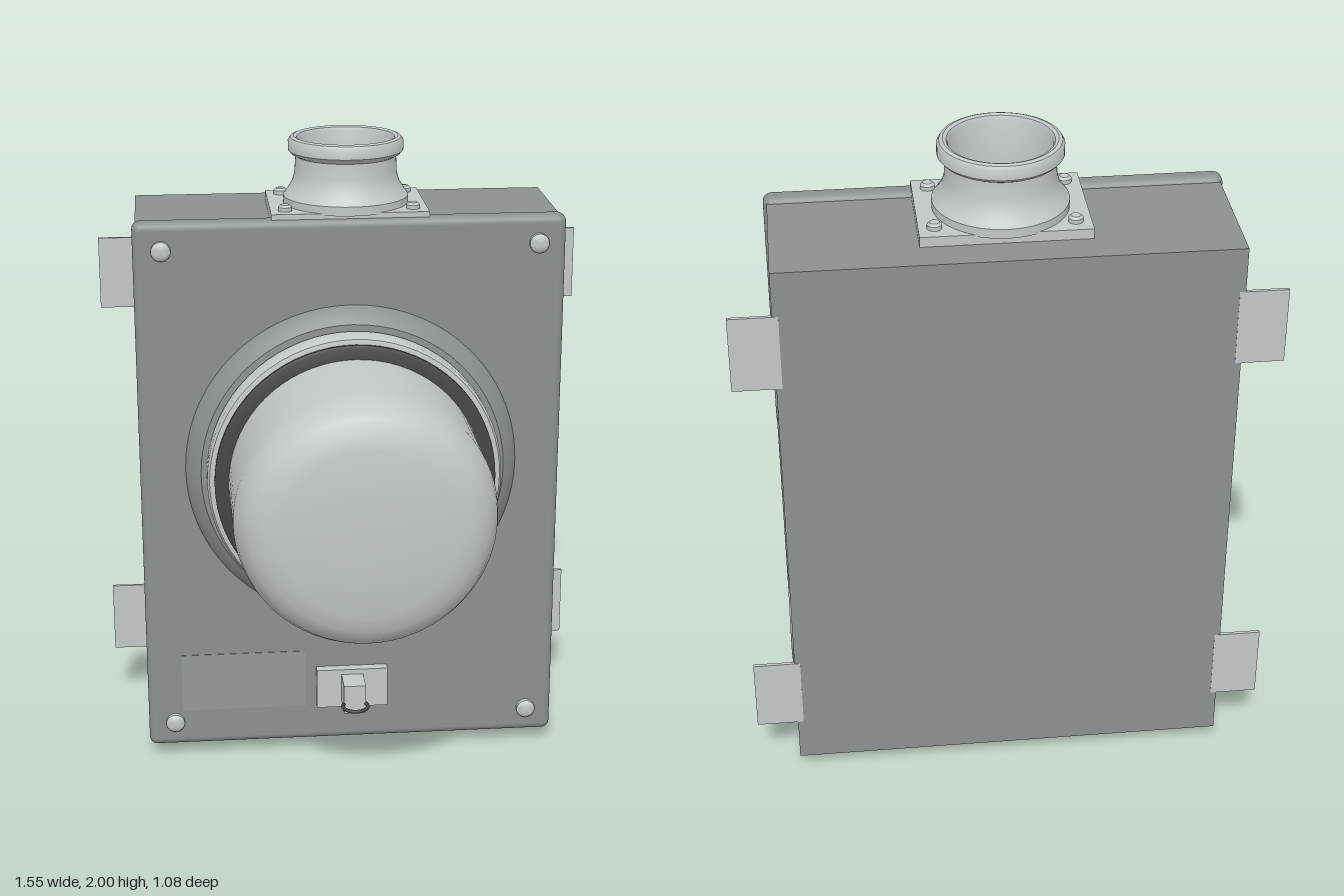
import * as THREE from 'three';
import { toCreasedNormals } from 'three/addons/utils/BufferGeometryUtils.js';
import { RoundedBoxGeometry } from 'three/addons/geometries/RoundedBoxGeometry.js';

const paint = (name, color) => Object.assign(new THREE.MeshStandardMaterial({ color }), { name });

export function createModel() {
  const model = new THREE.Group();
  model.name = 'meterSocketBox';
  const body = paint('enclosure grey', 0x8b9090);
  const light = paint('light metal', 0xc2c7c7);
  const dark = paint('dark rubber', 0x444646);
  const label = paint('label grey', 0x939898);

  const add = (name, geometry, material, x = 0, y = 0, z = 0) => {
    const mesh = new THREE.Mesh(geometry, material);
    mesh.name = name;
    mesh.position.set(x, y, z);
    model.add(mesh);
    return mesh;
  };
  // Box given by its minimum and maximum corners
  const box = (name, material, [x0, y0, z0], [x1, y1, z1]) =>
    add(name, new THREE.BoxGeometry(x1 - x0, y1 - y0, z1 - z0), material,
      (x0 + x1) / 2, (y0 + y1) / 2, (z0 + z1) / 2);
  // Turned part with crisp edges where the profile bends sharply
  const turned = (points, segments = 64) => toCreasedNormals(
    new THREE.LatheGeometry(points.map(p => new THREE.Vector2(...p)), segments), 0.6);

  // Enclosure, cover and label plate
  box('enclosure', body, [-0.65, 0.05, -0.543], [0.65, 1.765, -0.12]);
  add('frontCover', new RoundedBoxGeometry(1.32, 1.74, 0.066, 4, 0.025), body, 0, 0.91, -0.115);
  box('labelPlate', label, [-0.55, 0.165, -0.084], [-0.15, 0.36, -0.08]);

  // Wall mounting tabs and side knockouts
  const knockout = turned([[0.13, -0.002], [0.13, 0.006], [0.116, 0.006], [0.116, 0.002], [0, 0.002]], 48);
  for (const side of [-1, 1]) {
    for (const y of [0.305, 1.515])
      add('mountingTab', new THREE.BoxGeometry(0.14, 0.23, 0.01), light, side * 0.703, y, -0.539);
    for (const y of [0.445, 1.325])
      add('sideKnockout', knockout, body, side * 0.65, y, -0.345).rotation.z = -side * Math.PI / 2;
    // Bottom knockouts with their centre pins
    add('bottomKnockout', knockout, body, side * 0.325, 0.05, -0.335).rotation.x = Math.PI;
    add('bottomPin', new THREE.CylinderGeometry(0.02, 0.02, 0.05, 16), dark, side * 0.325, 0.025, -0.335);
  }

  // Cover screws
  const screw = turned([[0.03, 0], [0.03, 0.016], [0.025, 0.022], [0.014, 0.026], [0, 0.027]], 24);
  screw.rotateX(Math.PI / 2);
  for (const x of [-0.575, 0.575])
    for (const y of [0.125, 1.695]) add('coverScrew', screw, light, x, y, -0.084);

  // Meter: raised flange, sealing ring, gasket and glass-shaped cover
  const meter = (name, material, points) =>
    add(name, turned(points, 72).rotateX(Math.PI / 2), material, 0, 0.995, 0);
  meter('meterFlange', body, [
    [0.52, -0.09], [0.518, -0.078], [0.508, -0.06], [0.49, -0.04], [0.472, -0.025], [0.43, -0.022]]);
  meter('sealingRing', light, [
    [0.43, -0.03], [0.448, -0.02], [0.455, -0.012], [0.455, 0.042], [0.448, 0.053], [0.435, 0.057], [0.4, 0.057]]);
  meter('gasket', dark, [[0.433, 0.04], [0.433, 0.066], [0.425, 0.07], [0.38, 0.07]]);
  meter('meterCover', light, [
    [0.39, 0.05], [0.39, 0.39], [0.383, 0.425], [0.365, 0.465], [0.345, 0.492],
    [0.31, 0.513], [0.26, 0.526], [0.13, 0.535], [0, 0.54]]);
  box('sealingRingLatch', light, [-0.055, 0.495, -0.01], [0.055, 0.545, 0.05]);

  // Cover latch with a seal loop
  box('latchPlate', light, [-0.115, 0.17, -0.09], [0.115, 0.302, -0.05]);
  box('latchBlock', light, [-0.035, 0.19, -0.05], [0.035, 0.285, 0.04]);
  add('sealLoop', new THREE.TorusGeometry(0.04, 0.006, 8, 32), dark, 0, 0.222, 0.055).rotation.x = Math.PI / 2;

  // Conduit hub on the roof
  const hubZ = -0.27;
  box('hubPlate', light, [-0.24, 1.76, -0.442], [0.24, 1.795, -0.098]);
  add('conduitHub', turned([
    [0.193, 1.79], [0.193, 1.818], [0.18, 1.835], [0.165, 1.86], [0.157, 1.89], [0.155, 1.94],
    [0.168, 1.947], [0.177, 1.957], [0.177, 1.985], [0.17, 1.996], [0.16, 2],
    [0.15, 1.996], [0.145, 1.985], [0.145, 1.8], [0, 1.8]]), light, 0, 0, hubZ);
  const bolt = turned([[0.021, 0], [0.021, 0.012], [0.014, 0.019], [0, 0.021]], 20);
  for (const x of [-0.195, 0.195])
    for (const dz of [-0.12, 0.12]) add('hubBolt', bolt, light, x, 1.795, hubZ + dz);
  for (const x of [-0.055, 0.055])
    add('hubOpening', new THREE.CylinderGeometry(0.021, 0.021, 0.008, 20), dark, x, 1.802, hubZ);

  return model;
}
